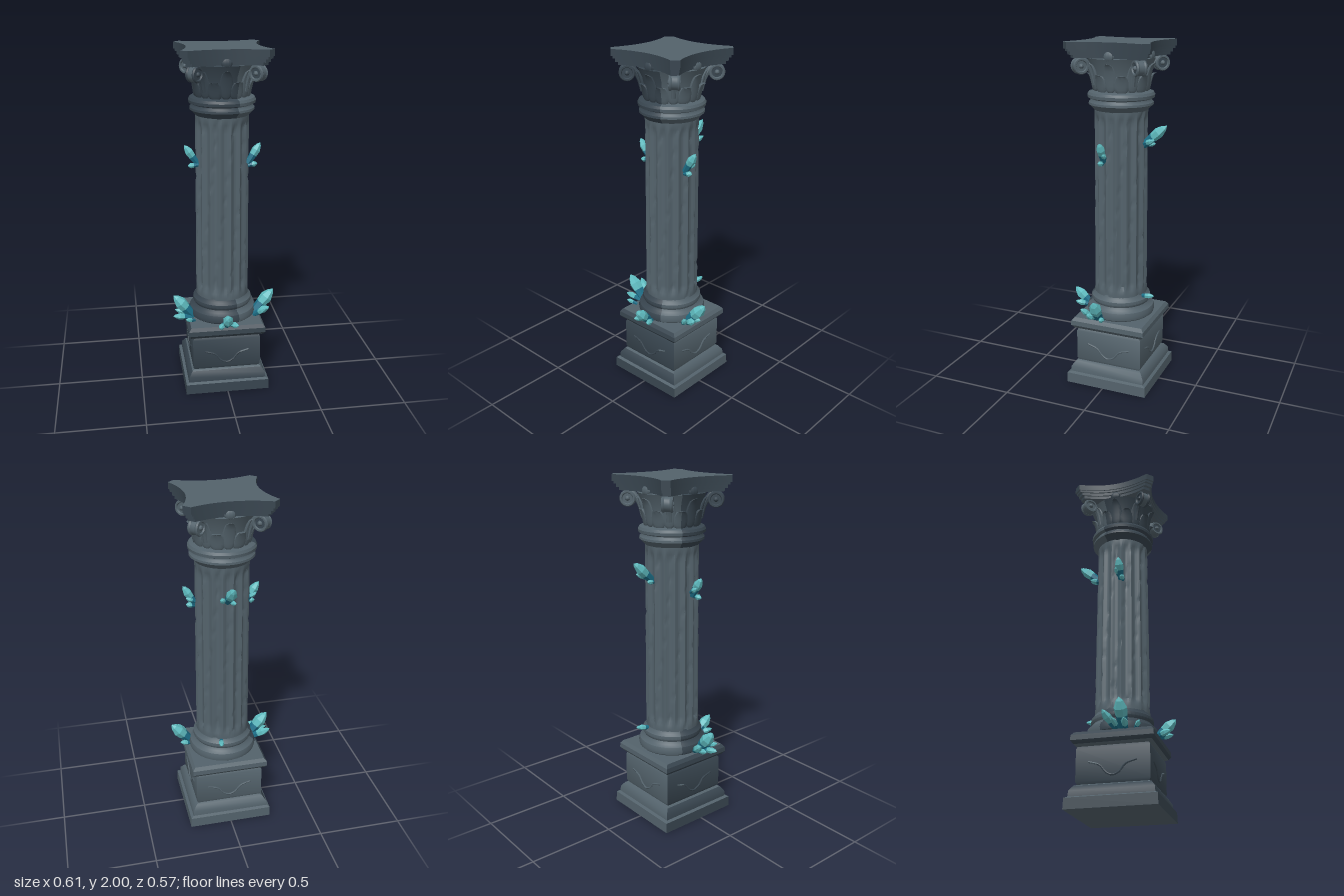
import * as THREE from 'three';
import { toCreasedNormals } from 'three/addons/utils/BufferGeometryUtils.js';

const mat = (name, color) => Object.assign(new THREE.MeshStandardMaterial({ color }), { name });
const V2 = (a) => a.map(([x, y]) => new THREE.Vector2(x, y));
const V3 = (a) => new THREE.Vector3(...a);

export function createModel() {
  const lightStone = mat('lightStone', 0x53626b);
  const darkStone = mat('darkStone', 0x38454f);
  const lightCrystal = mat('lightCrystal', 0x5fbcc0);
  const darkCrystal = mat('darkCrystal', 0x1d6f88);

  const model = new THREE.Group();
  model.name = 'crystalColumn';
  const column = new THREE.Group();
  column.name = 'column';
  column.position.z = -0.018;
  model.add(column);

  // Stone mesh whose front-left side is stained dark; round parts are split by position, others by face normal
  function stone(name, geometry, { round = false, crease = 0.6 } = {}) {
    const g = toCreasedNormals(geometry, crease);
    const p = g.attributes.position;
    const tri = new THREE.Triangle(), d = new THREE.Vector3();
    const sets = [[], []];
    for (let i = 0; i < p.count; i += 3) {
      tri.setFromAttributeAndIndices(p, i, i + 1, i + 2);
      if (round) { tri.getMidpoint(d).setY(0).normalize(); } else tri.getNormal(d);
      sets[(d.z - d.x) * 0.7 > 0.4 ? 1 : 0].push(i, i + 1, i + 2);
    }
    g.setIndex([...sets[0], ...sets[1]]);
    g.addGroup(0, sets[0].length, 0);
    g.addGroup(sets[0].length, sets[1].length, 1);
    const mesh = new THREE.Mesh(g, [lightStone, darkStone]);
    mesh.name = name;
    column.add(mesh);
  }

  // Square pedestal: a four-sided lathe over half-widths
  const half = [[0, 0], [0.248, 0], [0.246, 0.06], [0.23, 0.068], [0.227, 0.1], [0.207, 0.128], [0.193, 0.135],
    [0.2, 0.15], [0.2, 0.325], [0.193, 0.338], [0.212, 0.35], [0.226, 0.368], [0.225, 0.396], [0.21, 0.415], [0, 0.418]];
  stone('pedestal', new THREE.LatheGeometry(V2(half.map(([x, y]) => [x * Math.SQRT2, y])), 4, Math.PI / 4));

  // Carved garland on each pedestal face
  const garland = new THREE.CatmullRomCurve3([[-0.13, 0.25, 0.198], [-0.07, 0.23, 0.2], [-0.035, 0.19, 0.2], [0, 0.175, 0.2],
    [0.035, 0.19, 0.2], [0.07, 0.23, 0.2], [0.13, 0.25, 0.198]].map(V3));
  for (let i = 0; i < 4; i++) {
    stone('pedestalCarving', new THREE.TubeGeometry(garland, 24, 0.006, 6).rotateY(i * Math.PI / 2), { round: true });
  }

  // Round base mouldings
  stone('shaftBase', new THREE.LatheGeometry(V2([[0.18, 0.412], [0.196, 0.425], [0.2, 0.445], [0.193, 0.468], [0.175, 0.48],
    [0.167, 0.495], [0.175, 0.51], [0.173, 0.528], [0.16, 0.54], [0.152, 0.56]]), 48), { round: true });

  // Fluted, slightly worn shaft
  const shaft = new THREE.CylinderGeometry(0.15, 0.155, 1.1, 160, 44, true).translate(0, 1.09, 0);
  const sp = shaft.attributes.position;
  for (let i = 0; i < sp.count; i++) {
    const x = sp.getX(i), y = sp.getY(i), z = sp.getZ(i);
    const a = Math.atan2(x, z);
    const ends = THREE.MathUtils.smoothstep(y, 0.58, 0.62) * (1 - THREE.MathUtils.smoothstep(y, 1.57, 1.61));
    const flute = 0.015 * Math.pow((1 + Math.cos(16 * a)) / 2, 0.7) * ends;
    const chip = 0.02 * Math.max(0, Math.sin(3 * a + 23 * y) * Math.sin(7 * a - 31 * y) - 0.7);
    const k = 1 - (flute + chip) / 0.15;
    sp.setXYZ(i, x * k, y, z * k);
  }
  stone('flutedShaft', shaft, { round: true });

  // Neck rings and the bell of the capital
  stone('neckRings', new THREE.LatheGeometry(V2([[0.148, 1.625], [0.17, 1.648], [0.181, 1.658], [0.18, 1.67], [0.17, 1.68],
    [0.168, 1.688], [0.186, 1.696], [0.188, 1.712], [0.18, 1.726], [0.15, 1.735]]), 48), { round: true });
  stone('capitalBell', new THREE.LatheGeometry(V2([[0.15, 1.725], [0.15, 1.78], [0.162, 1.85], [0.19, 1.91], [0, 1.925]]), 48), { round: true });

  // Curling leaves in two tiers: a flattened ball, pointed and bent outwards
  function leaf(angle, y0, height, width, radius, curl) {
    const g = new THREE.SphereGeometry(1, 12, 10);
    const p = g.attributes.position;
    for (let i = 0; i < p.count; i++) {
      const t = (p.getY(i) + 1) / 2;
      const lean = curl * t * t * t;
      const droop = 0.02 * Math.max(0, t - 0.8) / 0.2;
      p.setXYZ(i, p.getX(i) * width * (1.15 - 0.5 * t), y0 + height * t - droop, radius + lean + p.getZ(i) * 0.014);
    }
    stone('capitalLeaf', g.rotateY(angle), { round: true });
  }
  for (let i = 0; i < 8; i++) {
    const a = i * Math.PI / 4;
    leaf(a + Math.PI / 8, 1.725, 0.12, 0.045, 0.15, 0.04);
    leaf(a, 1.73, 0.18, 0.04, 0.152, 0.05);
  }

  // Corner scrolls with raised rims and stalks, plus a flower at the middle of each side
  const stalk = new THREE.CatmullRomCurve3([[0, 1.77, 0.155], [0, 1.84, 0.175], [0, 1.9, 0.215], [0, 1.91, 0.245]].map(V3));
  for (let i = 0; i < 4; i++) {
    const a = Math.PI / 4 + i * Math.PI / 2;
    const place = (g) => g.translate(0, 1.872, 0.24).rotateY(a);
    stone('scroll', place(new THREE.CylinderGeometry(0.04, 0.04, 0.045, 20).rotateZ(Math.PI / 2)), { round: true });
    for (const s of [-1, 1]) {
      stone('scrollRim', place(new THREE.TorusGeometry(0.036, 0.009, 6, 20).rotateY(Math.PI / 2).translate(s * 0.022, 0, 0)), { round: true });
      stone('scrollEye', place(new THREE.SphereGeometry(0.014, 10, 8).translate(s * 0.022, 0, 0)), { round: true });
    }
    stone('scrollStalk', new THREE.TubeGeometry(stalk, 12, 0.016, 8).rotateY(a), { round: true });
    stone('sideFlower', new THREE.SphereGeometry(0.03, 10, 8).scale(1, 1, 0.6).translate(0, 1.925, 0.175).rotateY(a - Math.PI / 4), { round: true });
  }

  // Top slab with hollow sides, in stepped layers
  function slab(size, y, thickness) {
    const s = new THREE.Shape();
    const o = 0.247 * size, n = 0.212 * size, c = 0.148 * size;
    s.moveTo(o, -n).quadraticCurveTo(c, 0, o, n).lineTo(n, o).quadraticCurveTo(0, c, -n, o);
    s.lineTo(-o, n).quadraticCurveTo(-c, 0, -o, -n).lineTo(-n, -o).quadraticCurveTo(0, c * -1, n, -o).closePath();
    const g = new THREE.ExtrudeGeometry(s, { depth: thickness, bevelEnabled: false, curveSegments: 14 });
    stone('topSlab', g.rotateX(-Math.PI / 2).translate(0, y, 0));
  }
  slab(0.88, 1.915, 0.02);
  slab(0.93, 1.932, 0.02);
  slab(0.97, 1.95, 0.016);
  slab(1, 1.963, 0.037);

  // Six-sided crystal from root to tip, dark near the root
  function crystal(parent, root, tip, r) {
    const a = V3(root), dir = V3(tip).sub(a), L = dir.length();
    const g = new THREE.Group();
    g.name = 'crystal';
    const part = (name, pts, material) => {
      const geo = new THREE.LatheGeometry(V2(pts.map(([x, y]) => [x * r, y * L])), 6).toNonIndexed();
      geo.computeVertexNormals();
      const m = new THREE.Mesh(geo, material);
      m.name = name;
      g.add(m);
    };
    part('crystalRoot', [[0, 0], [0.65, 0], [0.87, 0.42]], darkCrystal);
    part('crystalPoint', [[0.87, 0.42], [1, 0.66], [0.55, 0.88], [0, 1]], lightCrystal);
    g.position.copy(a);
    g.quaternion.setFromUnitVectors(new THREE.Vector3(0, 1, 0), dir.normalize());
    parent.add(g);
  }
  const clusters = {
    lowerLeftCrystals: [
      [[0.18, 0.42, 0.045], [0.303, 0.562, 0.03], 0.037], [[0.18, 0.42, 0.06], [0.272, 0.47, 0.085], 0.022],
      [[0.18, 0.42, 0.08], [0.245, 0.49, 0.137], 0.018], [[0.18, 0.42, 0.02], [0.255, 0.44, 0.01], 0.016]],
    lowerRightCrystals: [
      [[-0.18, 0.42, 0.035], [-0.297, 0.56, 0.04], 0.037], [[-0.18, 0.42, 0], [-0.293, 0.5, -0.054], 0.024],
      [[-0.19, 0.42, 0.05], [-0.305, 0.44, 0.068], 0.019], [[-0.19, 0.42, 0.01], [-0.29, 0.45, 0], 0.016],
      [[-0.18, 0.42, 0.1], [-0.235, 0.445, 0.135], 0.014]],
    lowerFrontCrystals: [
      [[0, 0.41, 0.17], [-0.003, 0.512, 0.285], 0.032], [[-0.015, 0.42, 0.17], [-0.05, 0.44, 0.262], 0.018],
      [[0.015, 0.42, 0.17], [0.057, 0.445, 0.257], 0.018]],
    lowerBackCrystal: [[[0.035, 0.54, -0.15], [0.055, 0.558, -0.247], 0.016]],
    upperBackCrystals: [
      [[0, 1.43, -0.15], [-0.003, 1.55, -0.287], 0.03], [[0.02, 1.44, -0.15], [0.05, 1.475, -0.235], 0.016],
      [[-0.01, 1.43, -0.15], [-0.03, 1.44, -0.215], 0.014]],
    upperLeftCrystals: [
      [[0.14, 1.35, 0.03], [0.212, 1.467, 0.025], 0.025], [[0.14, 1.34, 0.035], [0.195, 1.35, 0.035], 0.016],
      [[0.14, 1.37, 0.02], [0.198, 1.4, 0.01], 0.015]],
    upperRightCrystals: [
      [[-0.14, 1.35, 0.01], [-0.217, 1.462, 0.01], 0.025], [[-0.14, 1.35, 0.02], [-0.2, 1.345, 0.025], 0.016],
      [[-0.14, 1.37, 0], [-0.2, 1.405, -0.01], 0.015]],
  };
  for (const [name, list] of Object.entries(clusters)) {
    const g = new THREE.Group();
    g.name = name;
    list.forEach((c) => crystal(g, ...c));
    model.add(g);
  }
  return model;
}
